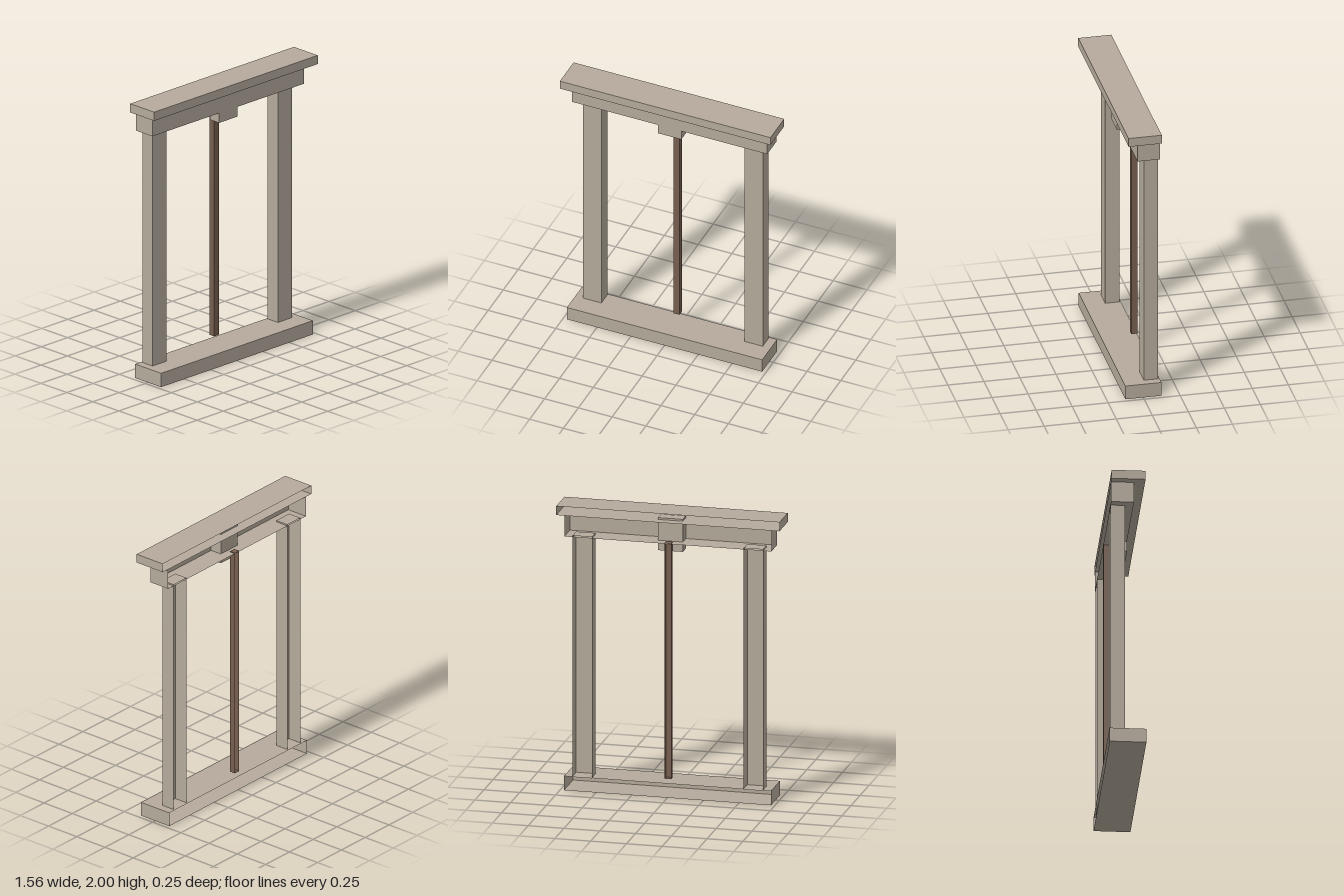
import * as THREE from 'three';

const stone = new THREE.MeshStandardMaterial({ color: 0xb5aa9c, side: THREE.DoubleSide });
stone.name = 'stone';
const wood = new THREE.MeshStandardMaterial({ color: 0x775f50, side: THREE.DoubleSide });
wood.name = 'darkWood';

// Block given by its limits; openBack leaves off the face towards the wall
function block(name, material, [x0, x1], [y0, y1], [z0, z1], openBack = true) {
  const geometry = new THREE.BoxGeometry(x1 - x0, y1 - y0, z1 - z0);
  if (openBack) {
    geometry.setIndex(Array.from(geometry.index.array).slice(0, 30));
    geometry.clearGroups();
  }
  geometry.translate((x0 + x1) / 2, (y0 + y1) / 2, (z0 + z1) / 2);
  const mesh = new THREE.Mesh(geometry, material);
  mesh.name = name;
  return mesh;
}

export function createModel() {
  const group = new THREE.Group();
  group.name = 'windowSurround';
  const back = -0.115;

  // Sill, lintel and projecting cornice
  group.add(block('sill', stone, [-0.723, 0.723], [0, 0.1], [-0.125, 0.125]));
  group.add(block('lintel', stone, [-0.723, 0.723], [1.79, 1.937], [back, 0.04]));
  group.add(block('cornice', stone, [-0.78, 0.78], [1.937, 2], [back, 0.115]));

  // Side posts, reaching slightly into the lintel
  group.add(block('leftPost', stone, [0.53, 0.665], [0.095, 1.8], [back, -0.016]));
  group.add(block('rightPost', stone, [-0.665, -0.53], [0.095, 1.8], [back, -0.016]));

  // Keystone through the lintel, a hair proud of its face
  group.add(block('keystone', stone, [-0.087, 0.087], [1.72, 1.95], [-0.045, 0.041], false));

  // Central glazing bar
  group.add(block('centreBar', wood, [-0.023, 0.023], [0.13, 1.795], [back, -0.073]));

  return group;
}
